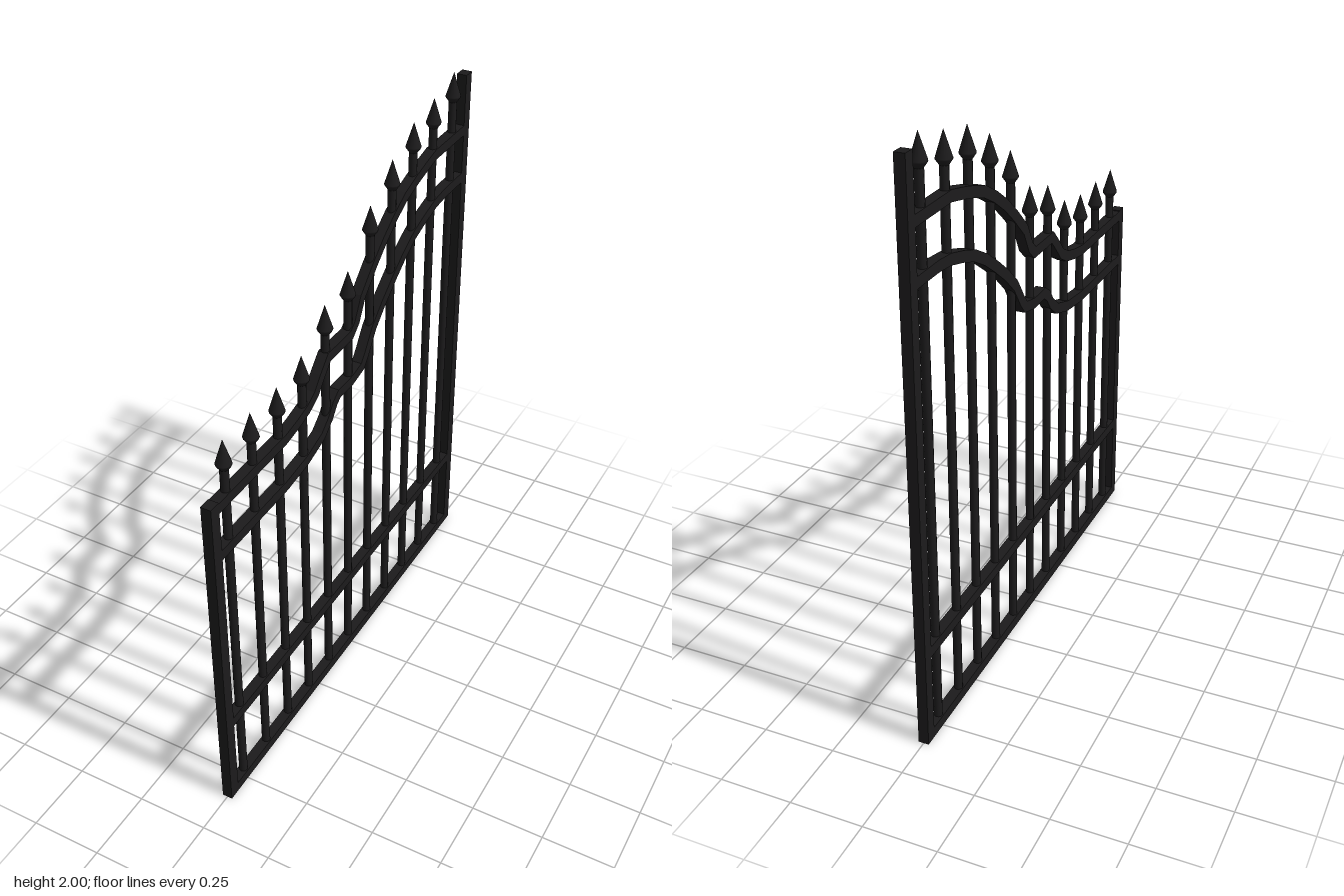
import * as THREE from 'three';

const THICK = 0.036; // depth of posts and rails along x

export function createModel() {
  const gate = new THREE.Group();
  gate.name = 'gate';
  const iron = new THREE.MeshStandardMaterial({ color: 0x1c1b1c });

  const add = (name, geometry, y = 0, z = 0) => {
    const mesh = new THREE.Mesh(geometry, iron);
    mesh.name = name;
    mesh.position.set(0, y, z);
    gate.add(mesh);
  };

  // Upright end posts
  const post = (name, z, h) => add(name, new THREE.BoxGeometry(THICK, h, 0.042), h / 2, z);
  post('frontPost', 0.832, 1.257);
  post('backPost', -0.832, 1.968);

  // Straight horizontal rails
  const rail = (name, y) => add(name, new THREE.BoxGeometry(THICK, 0.037, 1.63), y, 0);
  rail('bottomRail', 0.0185);
  rail('middleRail', 0.337);

  // Curved rails: a band of even width following a [z, y] centre line
  const curvedRail = (name, line) => {
    const pts = line.map(([z, y]) => new THREE.Vector2(z, y));
    const side = (s) => pts.map((p, i) => {
      const a = pts[Math.max(i - 1, 0)], b = pts[Math.min(i + 1, pts.length - 1)];
      const d1 = (i ? p.clone().sub(a) : b.clone().sub(p)).normalize();
      const d2 = (i < pts.length - 1 ? b.clone().sub(p) : p.clone().sub(a)).normalize();
      const t = d1.clone().add(d2).normalize();
      const w = s * 0.0185 / t.dot(d1);
      return new THREE.Vector2(p.x - t.y * w, p.y + t.x * w);
    });
    const shape = new THREE.Shape([...side(1), ...side(-1).reverse()]);
    const geo = new THREE.ExtrudeGeometry(shape, { depth: THICK, bevelEnabled: false });
    geo.translate(0, 0, -THICK / 2).rotateY(-Math.PI / 2);
    add(name, geo);
  };
  curvedRail('upperCurvedRail', [
    [0.82, 1.235], [0.43, 1.235], [0.36, 1.246], [0.29, 1.263], [0.24, 1.29], [0.2, 1.335],
    [0.155, 1.38], [0.005, 1.38], [-0.03, 1.41], [-0.07, 1.485], [-0.15, 1.56], [-0.22, 1.618],
    [-0.297, 1.67], [-0.37, 1.709], [-0.445, 1.733], [-0.52, 1.752], [-0.59, 1.767], [-0.82, 1.767],
  ]);
  curvedRail('lowerCurvedRail', [
    [0.82, 1.056], [0.43, 1.056], [0.3, 1.07], [0.2, 1.1], [0.15, 1.14], [0.12, 1.18],
    [0.09, 1.201], [0, 1.2], [-0.07, 1.215], [-0.1, 1.25], [-0.15, 1.322], [-0.22, 1.385],
    [-0.297, 1.443], [-0.37, 1.493], [-0.445, 1.533], [-0.52, 1.558], [-0.605, 1.58],
    [-0.68, 1.587], [-0.82, 1.587],
  ]);

  // Round pickets, each topped by a spear head
  const headGeo = new THREE.LatheGeometry(
    [[0.014, -0.105], [0.026, -0.088], [0.026, -0.083], [0, 0]].map(([r, y]) => new THREE.Vector2(r, y)), 12);
  const tips = [1.437, 1.437, 1.437, 1.464, 1.565, 1.61, 1.772, 1.867, 1.936, 1.963, 2.0];
  tips.forEach((tip, i) => {
    const z = 0.748 - i * 0.1495;
    const h = tip - 0.1;
    add('picket', new THREE.CylinderGeometry(0.0145, 0.0145, h - 0.01, 12), (h + 0.01) / 2, z);
    add('spearHead', headGeo, tip, z);
  });

  return gate;
}
